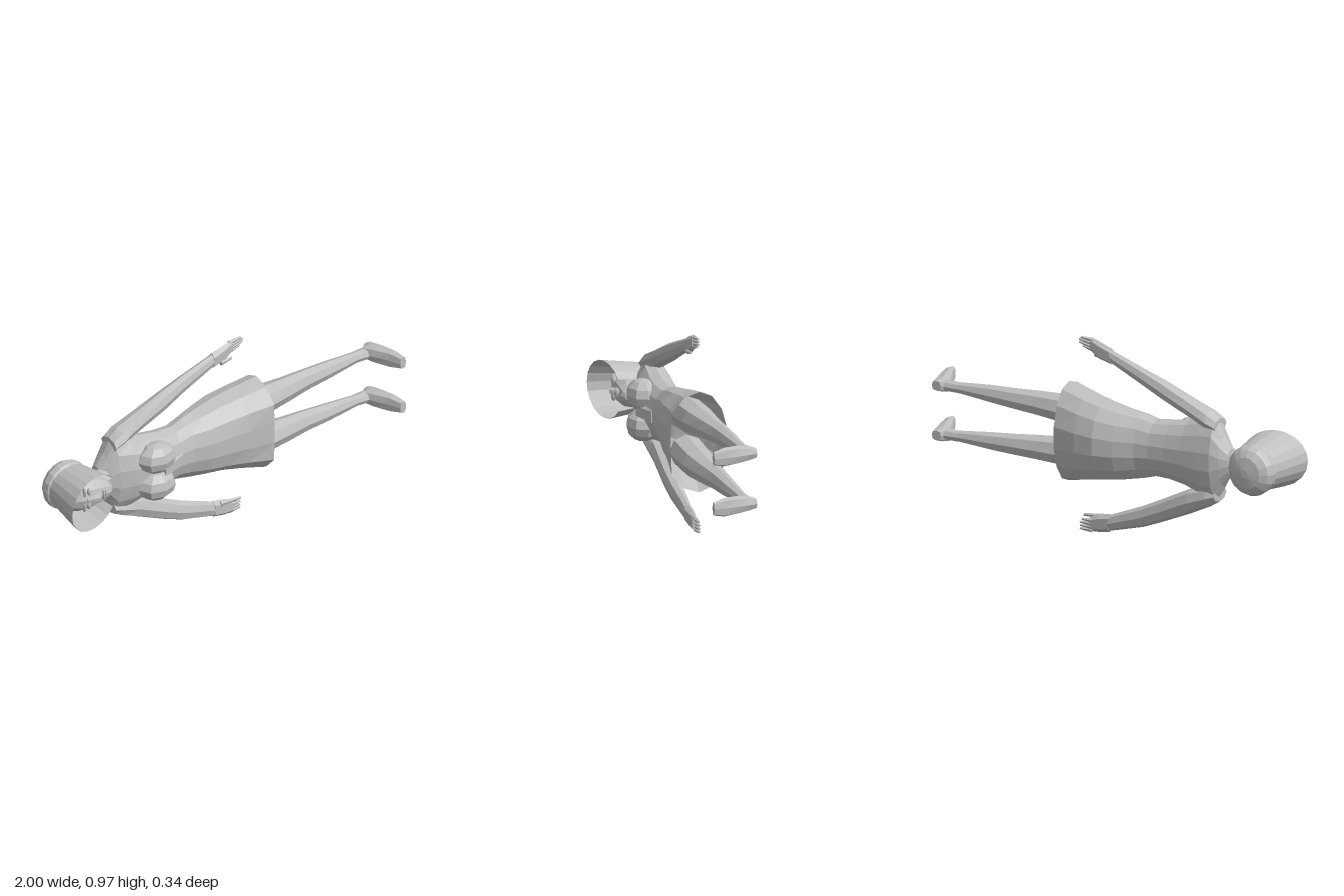
import * as THREE from 'three';

const grey = new THREE.MeshStandardMaterial({ color: 0xbfbfbf, flatShading: true, side: THREE.DoubleSide });
grey.name = 'plain grey';

// Lofts oval rings. Along x a section is [x, y0, y1, z0, z1]; along z it is [z, x0, x1, y0, y1].
function loft(name, sections, { n = 8, axis = 'x', power = 1, gap = 0, caps = [true, true], twist = 0, warp } = {}) {
  const pos = [], idx = [];
  const bend = (v) => Math.sign(v) * Math.abs(v) ** power;
  const put = (s, a, b) => {
    const p = axis === 'x' ? new THREE.Vector3(s, a, b) : new THREE.Vector3(a, b, s);
    if (warp) warp(p);
    pos.push(p.x, p.y, p.z);
  };
  const w = n + 1;
  for (const [s, a0, a1, b0, b1] of sections) {
    for (let j = 0; j <= n; j++) {
      const t = gap + twist + (j / n) * (Math.PI * 2 - gap * 2);
      put(s, (a0 + a1) / 2 + bend(Math.cos(t)) * (a1 - a0) / 2, (b0 + b1) / 2 + bend(Math.sin(t)) * (b1 - b0) / 2);
    }
  }
  for (let i = 0; i < sections.length - 1; i++) {
    for (let j = 0; j < n; j++) {
      const a = i * w + j, c = a + w;
      idx.push(a, a + 1, c, a + 1, c + 1, c);
    }
  }
  caps.forEach((on, end) => {
    if (!on) return;
    const row = end ? sections.length - 1 : 0;
    const [s, a0, a1, b0, b1] = sections[row];
    const mid = pos.length / 3;
    put(s, (a0 + a1) / 2, (b0 + b1) / 2);
    for (let j = 0; j < n; j++) {
      const a = row * w + j;
      if (end) idx.push(mid, a, a + 1); else idx.push(mid, a + 1, a);
    }
  });
  const g = new THREE.BufferGeometry();
  g.setAttribute('position', new THREE.Float32BufferAttribute(pos, 3));
  g.setIndex(idx);
  return mesh(name, g);
}

function mesh(name, geometry) {
  const g = geometry.index ? geometry.toNonIndexed() : geometry;
  g.computeVertexNormals();
  const m = new THREE.Mesh(g, grey);
  m.name = name;
  return m;
}

// Stretched low-poly ball
function ball(name, p, r, w = 10, h = 7) {
  return mesh(name, new THREE.SphereGeometry(1, w, h).scale(...r).translate(...p));
}

// Thin tapering finger between two points
function finger(name, x0, y0, x1, y1, z, r = 0.011) {
  return loft(name, [[x0, y0 - r, y0 + r, z - 0.012, z + 0.012],
    [x1, y1 - r * 0.5, y1 + r * 0.5, z - 0.007, z + 0.007]], { n: 5 });
}

export function createModel() {
  const model = new THREE.Group();
  model.name = 'reclining woman';
  const mid = 0.482;

  // Dress: shoulders, waist, hips and a skirt open at the hem
  model.add(loft('dress', [
    [-0.70, 0.42, 0.55, -0.08, 0.00], [-0.66, 0.36, 0.61, -0.105, 0.035],
    [-0.62, 0.28, 0.69, -0.12, 0.055], [-0.54, 0.29, 0.68, -0.12, 0.08],
    [-0.45, 0.32, 0.65, -0.115, 0.09], [-0.36, 0.335, 0.635, -0.11, 0.095],
    [-0.27, 0.34, 0.625, -0.11, 0.08], [-0.20, 0.32, 0.645, -0.12, 0.08],
    [-0.10, 0.30, 0.66, -0.155, 0.09], [0, 0.285, 0.68, -0.178, 0.105],
    [0.10, 0.265, 0.70, -0.17, 0.12], [0.23, 0.235, 0.73, -0.145, 0.142],
  ], {
    n: 14, caps: [true, false],
    // Flatten the front of the skirt and make its sides boxier
    warp: (p) => {
      if (p.x > -0.15 && p.z > 0.02) p.z = Math.min(p.z * 1.25, 0.1 + (p.x + 0.1) * 0.13);
    },
  }));
  for (const side of [-1, 1]) {
    model.add(ball('bust', [-0.425, mid + side * 0.075, 0.075], [0.105, 0.078, 0.08], 8, 6));
  }
  model.add(loft('waistGather', [
    [-0.40, 0.44, 0.53, 0.03, 0.125], [-0.27, 0.43, 0.54, 0.02, 0.085],
  ], { n: 6 }));

  // Legs and feet
  for (const side of [-1, 1]) {
    const leg = new THREE.Group();
    leg.name = side > 0 ? 'upperSideLeg' : 'lowerSideLeg';
    const at = (x, c, h, z0, z1) => [x, mid + side * c - h, mid + side * c + h, z0, z1];
    leg.add(loft('stocking', [
      at(0.02, 0.095, 0.08, -0.09, 0.085), at(0.23, 0.106, 0.074, -0.08, 0.085),
      at(0.40, 0.111, 0.062, -0.062, 0.06), at(0.52, 0.114, 0.053, -0.058, 0.04),
      at(0.66, 0.118, 0.044, -0.052, 0.03), at(0.83, 0.121, 0.028, -0.045, 0.012),
      at(0.92, 0.122, 0.03, -0.05, 0.022),
    ], { n: 8 }));
    const shoe = (z, x0, x1, h) => [z, x0, x1, mid + side * 0.124 - h, mid + side * 0.124 + h];
    leg.add(loft('foot', [
      shoe(-0.057, 0.91, 0.96, 0.024), shoe(-0.02, 0.875, 0.965, 0.036), shoe(0.03, 0.895, 0.975, 0.043),
      shoe(0.11, 0.937, 0.988, 0.046), shoe(0.168, 0.963, 0.997, 0.032),
    ], { n: 8, axis: 'z', power: 0.7 }));
    model.add(leg);
  }

  // Arms
  const upper = new THREE.Group();
  upper.name = 'upperSideArm';
  upper.add(loft('sleeve', [
    [-0.63, 0.62, 0.69, -0.09, 0.03], [-0.58, 0.625, 0.725, -0.095, 0.03], [-0.50, 0.66, 0.757, -0.085, 0.02],
    [-0.32, 0.73, 0.83, -0.07, 0.015], [-0.20, 0.785, 0.872, -0.06, 0.005], [-0.02, 0.865, 0.932, -0.045, 0],
  ]));
  upper.add(loft('hand', [
    [-0.02, 0.858, 0.938, -0.045, 0.002], [0.05, 0.875, 0.962, -0.038, 0], [0.095, 0.905, 0.975, -0.032, -0.006],
  ], { n: 6, power: 0.8 }));
  [[0.962, 0.15, 0.968], [0.945, 0.16, 0.957], [0.928, 0.158, 0.943], [0.913, 0.14, 0.928]]
    .forEach(([y, x1, y1]) => upper.add(finger('finger', 0.08, y, x1, y1, -0.02)));
  upper.add(finger('thumb', 0.02, 0.878, 0.085, 0.885, -0.005, 0.014));
  model.add(upper);

  const lower = new THREE.Group();
  lower.name = 'lowerSideArm';
  lower.add(loft('sleeve', [
    [-0.63, 0.275, 0.345, -0.09, 0.03], [-0.58, 0.243, 0.345, -0.095, 0.03], [-0.47, 0.19, 0.315, -0.085, 0.02],
    [-0.30, 0.116, 0.23, -0.065, 0.02], [-0.20, 0.076, 0.182, -0.058, 0.015], [-0.01, 0.026, 0.105, -0.048, 0],
  ]));
  lower.add(loft('hand', [
    [-0.015, 0.022, 0.11, -0.048, 0.002], [0.05, 0.01, 0.098, -0.042, 0], [0.10, 0.008, 0.078, -0.036, -0.006],
  ], { n: 6, power: 0.8 }));
  [0.015, 0.031, 0.047, 0.063].forEach((y, i) =>
    lower.add(finger('finger', 0.085, y, 0.15 - (i === 3 ? 0.01 : 0), y, -0.027)));
  lower.add(finger('thumb', 0.02, 0.088, 0.14, 0.08, -0.008, 0.014));
  model.add(lower);

  // Neck, head and face
  model.add(loft('neck', [
    [-0.78, 0.42, 0.54, -0.06, 0.04], [-0.71, 0.425, 0.54, -0.065, 0.04], [-0.655, 0.41, 0.555, -0.08, 0.035],
  ], { n: 10 }));
  const head = new THREE.Group();
  head.name = 'head';
  head.add(loft('face', [
    [-0.94, 0.44, 0.52, -0.04, 0.03], [-0.92, 0.41, 0.55, -0.08, 0.065], [-0.87, 0.392, 0.568, -0.1, 0.09],
    [-0.80, 0.392, 0.565, -0.1, 0.1], [-0.745, 0.405, 0.55, -0.08, 0.1], [-0.705, 0.43, 0.525, -0.03, 0.092],
    [-0.69, 0.455, 0.505, 0.01, 0.08],
  ], { n: 12 }));
  head.add(loft('nose', [
    [-0.85, 0.473, 0.489, 0.07, 0.1], [-0.79, 0.464, 0.498, 0.07, 0.128], [-0.778, 0.464, 0.498, 0.07, 0.11],
  ], { n: 6 }));
  for (const side of [-1, 1]) {
    head.add(ball('eye', [-0.835, mid + side * 0.038, 0.085], [0.011, 0.02, 0.012], 8, 5));
    head.add(ball('brow', [-0.86, mid + side * 0.04, 0.08], [0.008, 0.028, 0.014], 8, 5));
  }
  head.add(ball('upperLip', [-0.757, mid, 0.098], [0.008, 0.027, 0.012], 8, 5));
  head.add(ball('lowerLip', [-0.742, mid, 0.096], [0.008, 0.023, 0.012], 8, 5));
  model.add(head);

  // Bonnet: rounded crown, band and flared brim open at the neck
  const bonnet = new THREE.Group();
  bonnet.name = 'bonnet';
  bonnet.add(loft('crown', [
    [-0.16, -0.86, -0.825, 0.46, 0.50], [-0.15, -0.92, -0.77, 0.40, 0.56], [-0.128, -0.955, -0.735, 0.37, 0.59],
    [-0.10, -0.97, -0.718, 0.355, 0.605], [-0.07, -0.968, -0.718, 0.355, 0.605], [-0.055, -0.95, -0.735, 0.372, 0.588],
  ], { n: 16, axis: 'z', caps: [true, false] }));
  bonnet.add(loft('brim', [
    [-0.07, -0.96, -0.715, 0.365, 0.595], [-0.05, -0.962, -0.71, 0.365, 0.597], [0.17, -1.0, -0.68, 0.34, 0.622],
  ], {
    n: 16, axis: 'z', gap: 0.6, caps: [false, false],
    warp: (p) => { if (p.z > 0.1) p.z -= (p.x + 1) * 0.22; },
  }));
  model.add(bonnet);
  return model;
}
